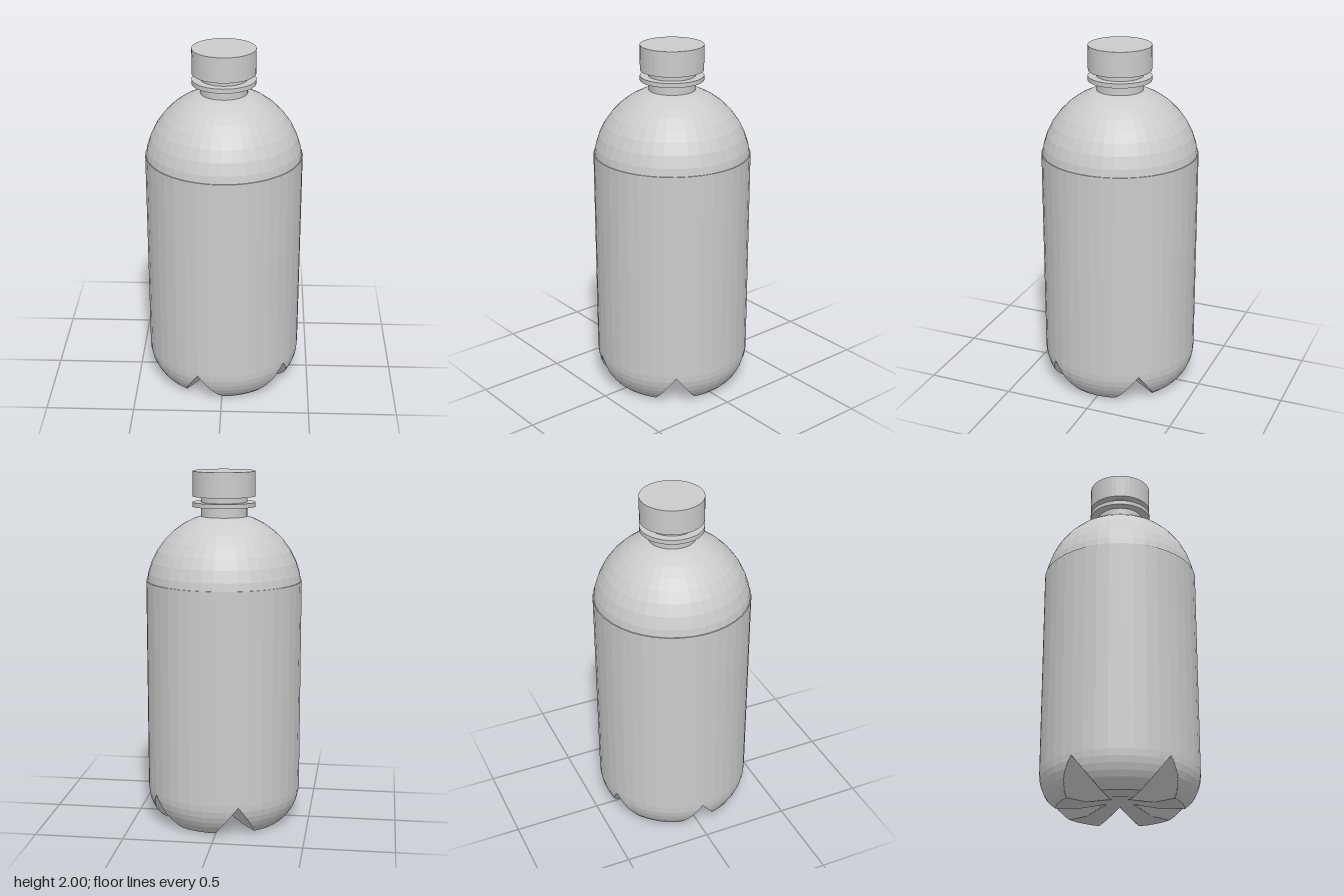
import * as THREE from 'three';

const SIDES = 40;
const R = 0.44;
const rad = THREE.MathUtils.degToRad;
const material = new THREE.MeshStandardMaterial({ color: 0xcccccc, flatShading: true });

function addLathe(group, name, points) {
  const profile = points.map(([r, y]) => new THREE.Vector2(r, y));
  const mesh = new THREE.Mesh(new THREE.LatheGeometry(profile, SIDES), material);
  mesh.name = name;
  group.add(mesh);
}

// Outer profile of the underside, from the centre to the wall
function baseProfile() {
  const arcR = 0.24, cx = R - arcR, cy = 0.19, end = Math.asin(cy / arcR);
  const ring = i => [cx + arcR * Math.cos(end * (1 - i / 6)), cy - arcR * Math.sin(end * (1 - i / 6))];
  const points = [];
  const flatR = ring(0)[0];
  for (let i = 0; i < 24; i++) points.push([flatR * i / 24, 0]);
  for (let i = 0; i < 6; i++) {
    const a = ring(i), b = ring(i + 1);
    for (let j = 0; j < 6; j++) {
      points.push([a[0] + (b[0] - a[0]) * j / 6, a[1] + (b[1] - a[1]) * j / 6]);
    }
  }
  points.push([R, cy]);
  return points;
}

// Five-footed base: V grooves rising outwards and a shallow central hollow
function petalBase() {
  const profile = baseProfile(), rows = profile.length, cols = 400;
  const positions = [], index = [];
  const facet = rad(360 / SIDES), fifth = rad(72);
  for (let i = 0; i < rows; i++) {
    const [r, y0] = profile[i];
    for (let j = 0; j <= cols; j++) {
      const a = j / cols * Math.PI * 2;
      // keep the outline a polygon that matches the wall
      const s = r * Math.cos(facet / 2) / Math.cos((a % facet) - facet / 2);
      // angle from the nearest groove (at 36 degrees, then every 72)
      const d = (a % fifth) - fifth / 2;
      const groove = 0.41 * r * Math.cos(d) - 1.22 * r * Math.abs(Math.sin(d));
      const hollow = 0.05 * (1 - r / 0.22);
      const y = i === rows - 1 ? y0 : Math.max(y0, groove, hollow);
      positions.push(s * Math.cos(a), y, s * Math.sin(a));
    }
  }
  const w = cols + 1;
  for (let i = 0; i < rows - 1; i++) {
    for (let j = 0; j < cols; j++) {
      const a = i * w + j, b = a + 1, c = a + w, e = c + 1;
      if (i > 0) index.push(a, c, b);
      // split so the triangles stay outside facing, seen from below
      if (i > 0) index.push(b, c, e);
      else index.push(a, c, e);
    }
  }
  const geometry = new THREE.BufferGeometry();
  geometry.setAttribute('position', new THREE.Float32BufferAttribute(positions, 3));
  geometry.setIndex(index);
  geometry.computeVertexNormals();
  return geometry;
}

export function createModel() {
  const model = new THREE.Group();
  model.name = 'bottle';

  const base = new THREE.Mesh(petalBase(), material);
  base.name = 'petalBase';
  model.add(base);

  // Straight wall with a tiny ledge under the shoulder
  addLathe(model, 'wall', [[R, 0.19], [R, 1.39], [0.434, 1.39]]);

  // Domed shoulder
  const dome = [[0.4345, 1.39]];
  for (let lat = 13.5; lat < 70; lat += 9) {
    dome.push([R * Math.cos(rad(lat)), 1.33 + R * Math.sin(rad(lat))]);
  }
  dome.push([0.13, 1.749]);
  addLathe(model, 'shoulder', dome);

  // Neck, collar ring and cap
  addLathe(model, 'neck', [[0.13, 1.74], [0.13, 1.87]]);
  addLathe(model, 'collar', [[0.13, 1.803], [0.177, 1.803], [0.177, 1.828], [0.13, 1.828]]);
  addLathe(model, 'cap', [[0, 1.86], [0.176, 1.86], [0.176, 2], [0, 2]]);
  return model;
}
